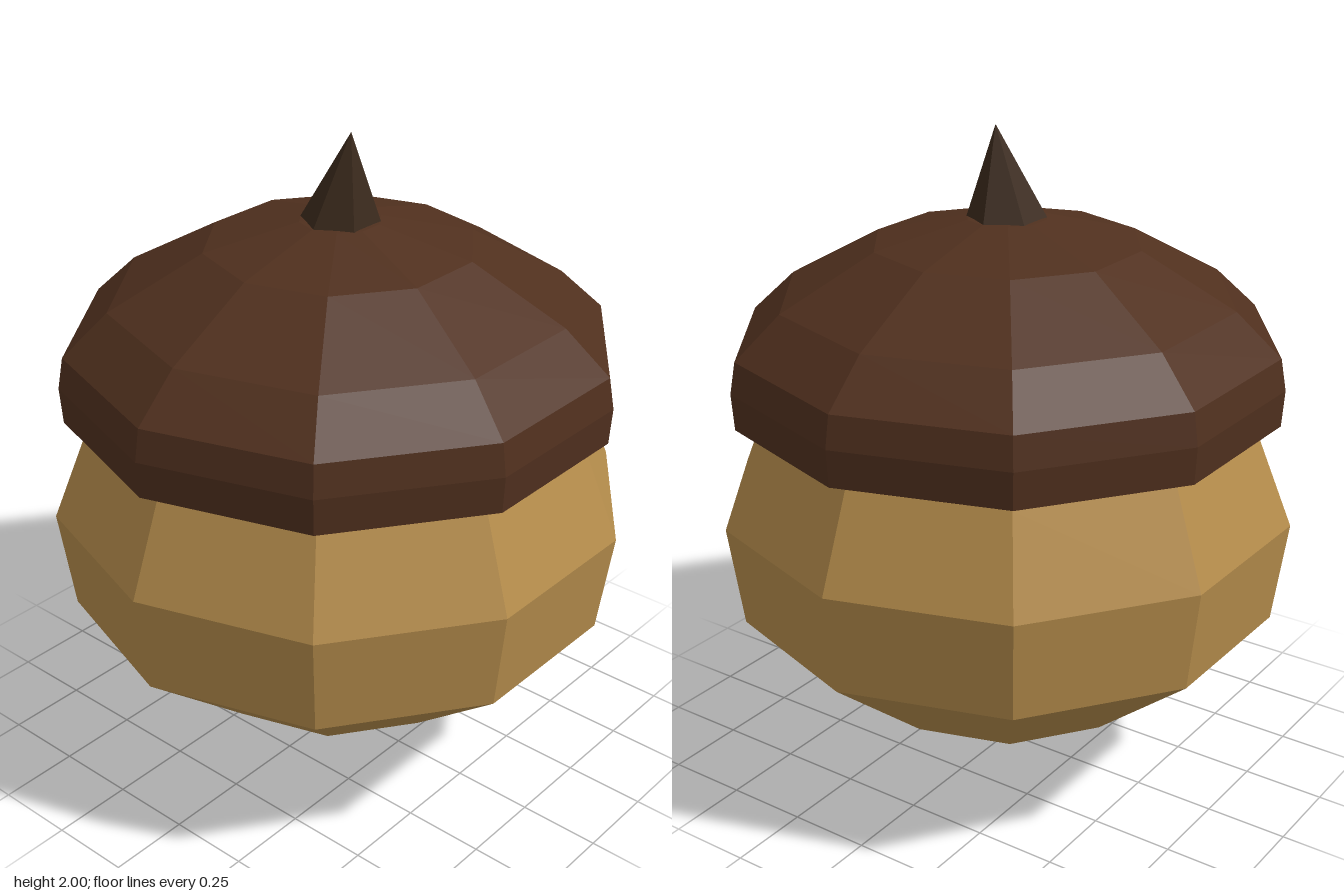
import * as THREE from 'three';

const SIDES = 10;

function material(color) {
  return new THREE.MeshStandardMaterial({ color, flatShading: true });
}

// Faceted turned part from [radius, height] pairs, listed bottom to top
function turned(name, profile, color) {
  const points = profile.map(([r, y]) => new THREE.Vector2(r, y));
  const mesh = new THREE.Mesh(new THREE.LatheGeometry(points, SIDES), material(color));
  mesh.name = name;
  return mesh;
}

export function createModel() {
  const acorn = new THREE.Group();
  acorn.name = 'acorn';

  // Nut: pointed tip, widest at the middle, narrowing up into the cap
  acorn.add(turned('nut', [
    [0, 0], [0.46, 0.25], [0.83, 0.56], [0.872, 0.87], [0.76, 1.15], [0.68, 1.24],
  ], 0xb68d4c));

  // Cap: flat underside, short upright rim, domed top
  acorn.add(turned('cap', [
    [0.66, 1.18], [0.825, 1.18], [0.832, 1.29], [0.815, 1.385],
    [0.68, 1.512], [0.4, 1.667], [0.12, 1.737], [0, 1.745],
  ], 0x50301e));

  // Stem: six-sided spike whose tip leans to the left
  const height = 0.27;
  const spike = new THREE.ConeGeometry(0.12, height, 6);
  spike.translate(0, height / 2, 0);
  const pos = spike.attributes.position;
  for (let i = 0; i < pos.count; i++) {
    pos.setX(i, pos.getX(i) + 0.04 * pos.getY(i) / height);
  }
  const stem = new THREE.Mesh(spike, material(0x3a291b));
  stem.name = 'stem';
  stem.position.y = 1.73;
  acorn.add(stem);

  return acorn;
}
